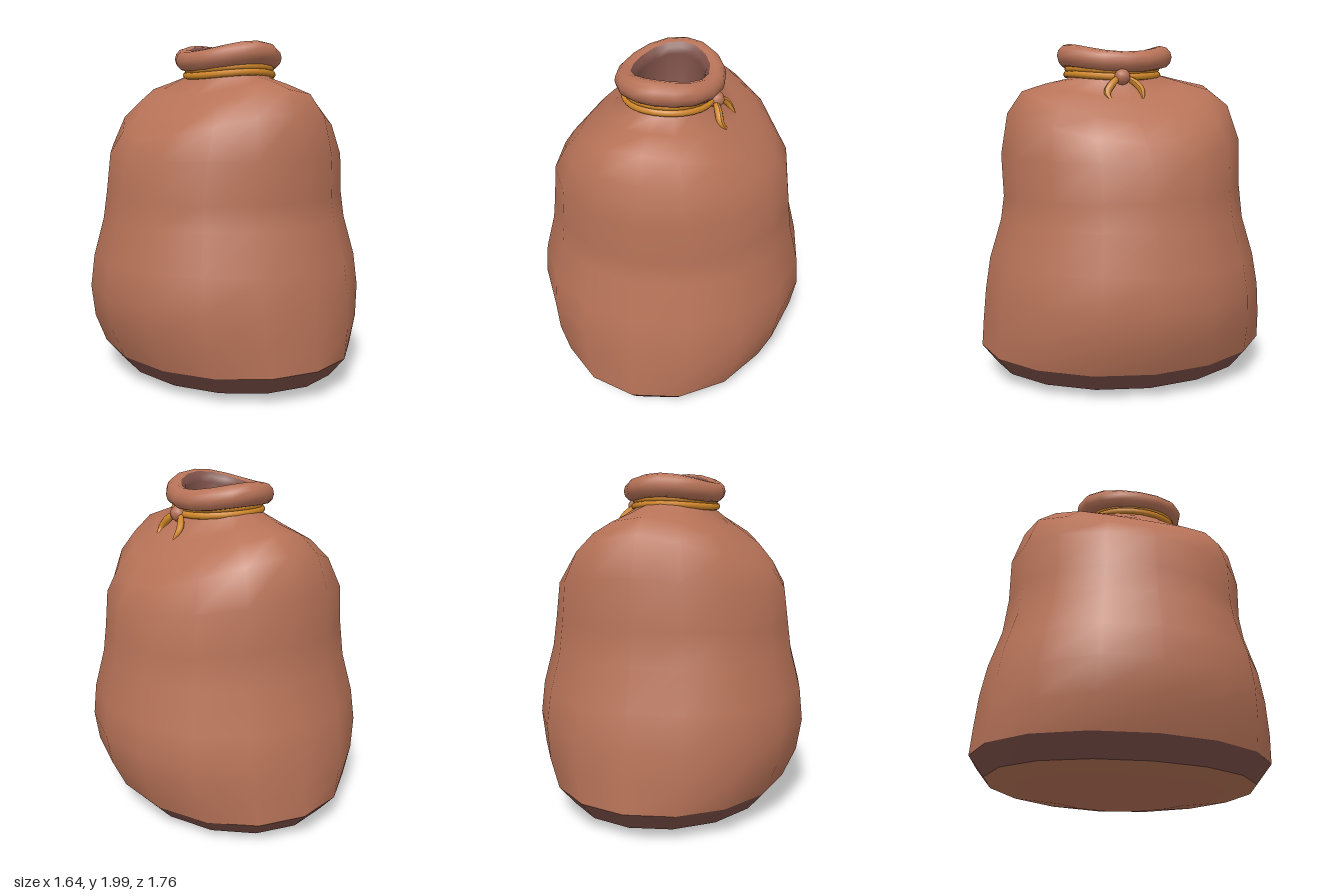
import * as THREE from 'three';

const SIDES = 16;

// Point on an oval ring [rx, zFront, zBack, ySide, yFront, yBack] at angle t (0 = front, 90 deg = left)
function ringPoint([rx, zf, zb, ys, yf = ys, yb = yf], t) {
  const c = Math.cos(t);
  const y = ys + ((c > 0 ? yf : yb) - ys) * c * c;
  return new THREE.Vector3(rx * Math.sin(t), y, (zf - zb) / 2 + ((zf + zb) / 2) * c);
}

// Skin a list of rings; the order bottom, outside, over the rim, inside faces outwards
function loft(rings) {
  const pos = [], index = [];
  rings.forEach((ring, j) => {
    for (let i = 0; i < SIDES; i++) {
      pos.push(...ringPoint(ring, (i / SIDES) * Math.PI * 2).toArray());
      if (j === rings.length - 1) continue;
      const a = j * SIDES + i, b = j * SIDES + ((i + 1) % SIDES);
      index.push(a, b, b + SIDES, a, b + SIDES, a + SIDES);
    }
  });
  const g = new THREE.BufferGeometry();
  g.setAttribute('position', new THREE.Float32BufferAttribute(pos, 3));
  g.setIndex(index);
  g.computeVertexNormals();
  return g;
}

// Tube whose radius follows a function of its length
function taperedTube(points, radius, profile) {
  const curve = new THREE.CatmullRomCurve3(points.map((p) => new THREE.Vector3(...p)));
  const segs = 12, radial = 8;
  const g = new THREE.TubeGeometry(curve, segs, radius, radial);
  const p = g.attributes.position, v = new THREE.Vector3();
  for (let i = 0; i < p.count; i++) {
    const u = Math.floor(i / (radial + 1)) / segs;
    const c = curve.getPointAt(u);
    v.fromBufferAttribute(p, i).sub(c).multiplyScalar(profile(u)).add(c);
    p.setXYZ(i, v.x, v.y, v.z);
  }
  g.computeVertexNormals();
  return g;
}

export function createModel() {
  const group = new THREE.Group();
  const material = (name, color) => {
    const m = new THREE.MeshStandardMaterial({ color });
    m.name = name;
    return m;
  };
  const cloth = material('cloth', 0xb87358);
  const darkCloth = material('darkCloth', 0x7d5048);
  const cord = material('cord', 0xd08628);
  const add = (name, geometry, mat) => {
    const mesh = new THREE.Mesh(geometry, mat);
    mesh.name = name;
    group.add(mesh);
    return mesh;
  };

  // Underside and the dark band around the base
  const baseEdge = [0.61, 0.79, 0.79, 0.055, 0.075];
  const bandTop = [0.71, 0.88, 0.88, 0.17, 0.19];
  add('underside', loft([[0, 0, 0, 0.005], [0.4, 0.45, 0.45, 0.012, 0.018], baseEdge]), cloth);
  add('baseBand', loft([baseEdge, bandTop]), darkCloth);

  // Sagging sack, higher at the front and back shoulders than at the sides
  add('sackBody', loft([
    bandTop,
    [0.79, 0.868, 0.868, 0.35],
    [0.82, 0.85, 0.85, 0.54],
    [0.8, 0.82, 0.815, 0.73],
    [0.74, 0.75, 0.745, 0.96],
    [0.718, 0.73, 0.72, 1.12, 1.1, 1.18],
    [0.69, 0.74, 0.72, 1.33, 1.35, 1.45],
    [0.615, 0.7, 0.65, 1.44, 1.59, 1.67],
    [0.52, 0.61, 0.53, 1.55, 1.72, 1.76],
    [0.37, 0.47, 0.38, 1.67, 1.765, 1.79],
    [0.25, 0.34, 0.22, 1.775, 1.795, 1.825],
    [0.235, 0.325, 0.21, 1.88, 1.92],
  ]), cloth);

  // Rolled lip, split where the dark lining starts
  const lipRing = (deg) => {
    const a = THREE.MathUtils.degToRad(deg), c = Math.cos(a), s = Math.sin(a);
    return [0.245 + 0.06 * c, 0.33 + 0.068 * c, 0.24 + 0.068 * c, 1.885 + 0.06 * s, 1.93 + 0.068 * s];
  };
  add('rolledLip', loft([-150, -120, -90, -60, -30, 0, 30, 60, 90, 120].map(lipRing)), cloth);
  add('lining', loft([
    ...[120, 150, 180].map(lipRing),
    [0.18, 0.25, 0.17, 1.76],
    [0.12, 0.16, 0.11, 1.62],
    [0, 0.03, -0.03, 1.54],
  ]), darkCloth);

  // Two turns of cord round the neck
  [[0.25, 0.338, 0.218, 1.8, 1.822], [0.24, 0.33, 0.21, 1.835, 1.855]].forEach((ring, n) => {
    const pts = Array.from({ length: 16 }, (_, i) => ringPoint(ring, (i / 16) * Math.PI * 2));
    const curve = new THREE.CatmullRomCurve3(pts, true);
    add('neckCord' + (n + 1), new THREE.TubeGeometry(curve, 32, 0.02, 8, true), cord);
  });

  // Knot on the left side with two loose ends
  add('knot', new THREE.SphereGeometry(0.047, 12, 8), cloth).position.set(0.265, 1.8, 0.067);
  const droop = (u) => 0.7 + 0.5 * Math.sin(u * Math.PI) - 0.62 * u * u * u;
  add('cordEndFront', taperedTube(
    [[0.26, 1.8, 0.08], [0.29, 1.77, 0.125], [0.32, 1.71, 0.17], [0.345, 1.675, 0.16], [0.365, 1.655, 0.135]],
    0.02, droop), cord);
  add('cordEndBack', taperedTube(
    [[0.26, 1.8, 0.05], [0.285, 1.77, 0.0], [0.31, 1.735, -0.03], [0.335, 1.7, -0.035], [0.365, 1.66, -0.025]],
    0.018, droop), cord);

  return group;
}
